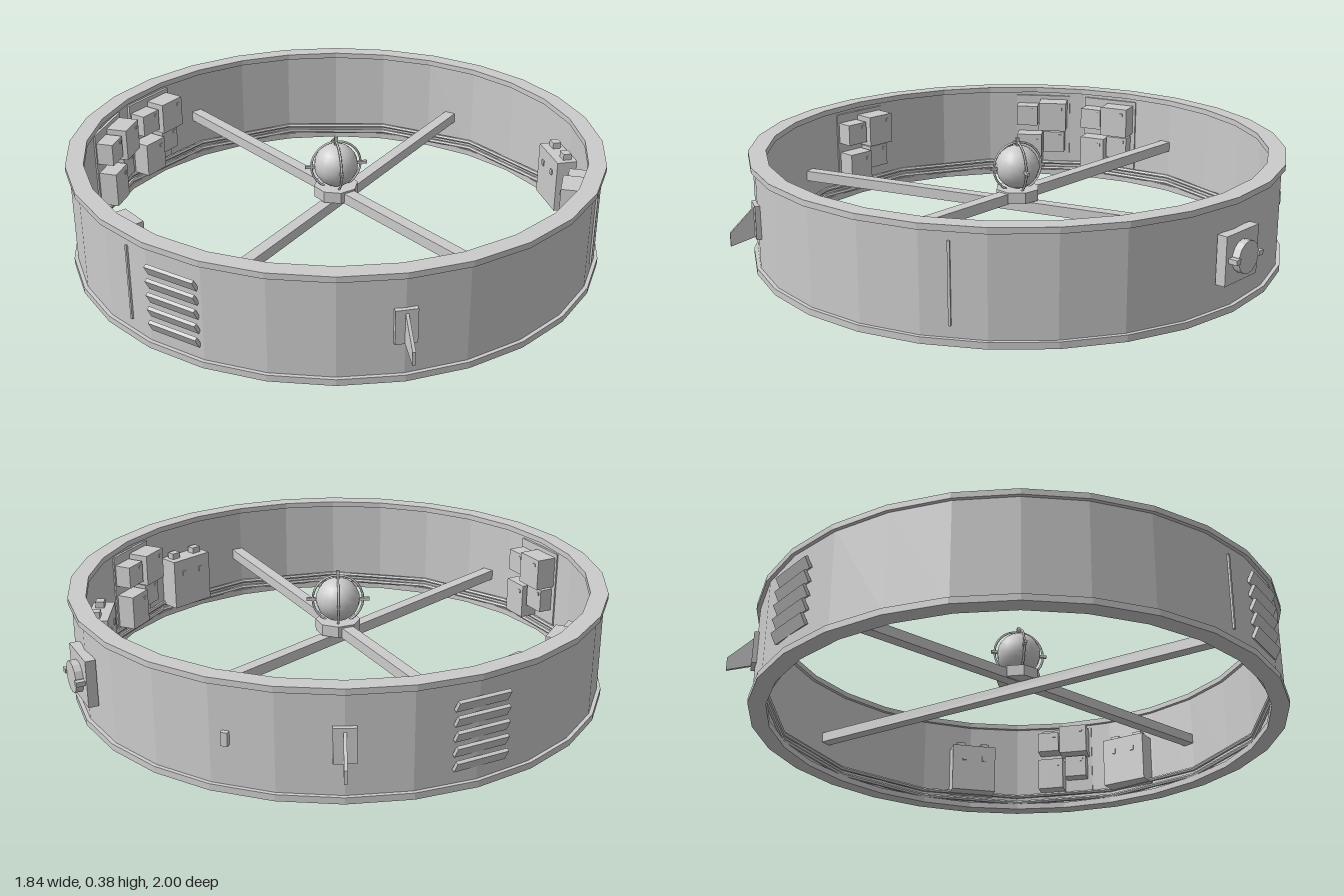
import * as THREE from 'three';

const grey = new THREE.MeshStandardMaterial({ color: 0xcccccc, flatShading: true });
const smooth = new THREE.MeshStandardMaterial({ color: 0xcccccc });

function add(parent, name, geometry, x = 0, y = 0, z = 0, material = grey) {
  const mesh = new THREE.Mesh(geometry, material);
  mesh.name = name;
  mesh.position.set(x, y, z);
  parent.add(mesh);
  return mesh;
}

function box(parent, name, w, h, d, x = 0, y = 0, z = 0) {
  return add(parent, name, new THREE.BoxGeometry(w, h, d), x, y, z);
}

// Rectangular-section ring standing on y0
function ringBand(parent, name, rIn, rOut, y0, y1) {
  const profile = [[rOut, y0], [rOut, y1], [rIn, y1], [rIn, y0], [rOut, y0]];
  return add(parent, name, new THREE.LatheGeometry(profile.map(p => new THREE.Vector2(...p)), 28));
}

// Group on the wall near (x, z): local +z points outward, or inward for inner gear
function onWall(parent, name, x, z, radius, inward = false) {
  const a = Math.atan2(x, z);
  const g = new THREE.Group();
  g.name = name;
  g.position.set(Math.sin(a) * radius, 0, Math.cos(a) * radius);
  g.rotation.y = a + (inward ? Math.PI : 0);
  parent.add(g);
  return g;
}

function addFin(parent, side) {
  const g = onWall(parent, 'finMount', 0, side, 0.9);
  box(g, 'finPlate', 0.07, 0.115, 0.03, 0, 0.19, 0.005);
  const s = new THREE.Shape();
  [[0.015, 0.24], [0.1, 0.155], [0.1, 0.11], [0.015, 0.135]].forEach(([u, v], i) =>
    i ? s.lineTo(u, v) : s.moveTo(u, v));
  const geo = new THREE.ExtrudeGeometry(s, { depth: 0.01, bevelEnabled: false });
  geo.translate(0, 0, -0.005).rotateY(-Math.PI / 2);
  add(g, 'fin', geo);
}

function addLouvre(parent, x, z) {
  const g = onWall(parent, 'louvre', x, z, 0.912);
  for (let i = 0; i < 5; i++) {
    box(g, 'slat', 0.18, 0.04, 0.012, 0, 0.085 + i * 0.049, 0).rotation.x = 0.5;
  }
}

// Inner rack: a thin back plate carrying four boxes
function addRack(parent, x, z) {
  const g = onWall(parent, 'equipmentRack', x, z, 0.865, true);
  box(g, 'rackPlate', 0.22, 0.285, 0.01, 0, 0.195, 0.005);
  const units = [
    [-0.06, 0.265, 0.085, 0.08, 0.07],
    [0.045, 0.265, 0.11, 0.115, 0.085],
    [-0.05, 0.125, 0.1, 0.125, 0.075],
    [0.05, 0.155, 0.085, 0.085, 0.06],
  ];
  for (const [ux, uy, w, h, d] of units) {
    box(g, 'equipmentBox', w, h, d, ux, uy, d / 2);
    box(g, 'indicator', 0.012, 0.012, 0.006, ux + w * 0.3, uy + h * 0.3, d);
  }
}

// Inner cabinet with two knobs on top
function addCabinet(parent, x, z) {
  const g = onWall(parent, 'cabinet', x, z, 0.865, true);
  box(g, 'cabinetBody', 0.175, 0.19, 0.075, 0, 0.145, 0.037);
  for (const s of [-1, 1]) {
    box(g, 'cabinetKnob', 0.035, 0.025, 0.03, s * 0.05, 0.25, 0.03);
    box(g, 'cabinetLatch', 0.015, 0.02, 0.006, s * 0.04, 0.185, 0.076);
  }
}

export function createModel() {
  const model = new THREE.Group();
  model.name = 'ringStation';

  // Ring wall with a flange along each edge
  ringBand(model, 'ringWall', 0.873, 0.907, 0.01, 0.36);
  ringBand(model, 'bottomFlange', 0.86, 0.92, 0, 0.022);
  ringBand(model, 'topFlange', 0.86, 0.92, 0.35, 0.37);

  // Faceted conduits around the inner wall
  for (const y of [0.03, 0.055]) {
    const geo = new THREE.TorusGeometry(0.868, 0.008, 6, 14);
    geo.rotateX(Math.PI / 2).rotateY(Math.PI / 2);
    add(model, 'conduit', geo, 0, y, 0);
  }

  // Two crossing spokes
  for (const [x, z, y] of [[0.39, 0.77, 0.18], [0.62, -0.62, 0.143]]) {
    box(model, 'spoke', 0.042, 0.037, 1.74, 0, y, 0).rotation.y = Math.atan2(x, z);
  }

  // Hub with a caged sphere
  const hub = new THREE.Group();
  hub.name = 'hub';
  model.add(hub);
  add(hub, 'hubPlate', new THREE.CylinderGeometry(0.078, 0.078, 0.04, 8), 0, 0.185, 0);
  const cy = 0.28;
  add(hub, 'coreSphere', new THREE.SphereGeometry(0.077, 16, 12), 0, cy, 0, smooth);
  for (const turn of [0, Math.PI / 2]) {
    add(hub, 'cageRing', new THREE.TorusGeometry(0.088, 0.004, 6, 28), 0, cy, 0, smooth).rotation.y = turn;
  }
  box(hub, 'crossPin', 0.22, 0.01, 0.01, 0, cy, 0);
  box(hub, 'crossPin', 0.01, 0.01, 0.2, 0, cy, 0);
  box(hub, 'uprightPin', 0.012, 0.19, 0.012, 0, 0.29, 0);

  // Outer fittings
  addFin(model, 1);
  addFin(model, -1);
  addLouvre(model, -0.65, 0.65);
  addLouvre(model, -0.41, -0.83);

  const port = onWall(model, 'port', 0.85, -0.42, 0.91);
  box(port, 'portPlate', 0.17, 0.16, 0.034, 0, 0.187, 0.008);
  add(port, 'portCap', new THREE.CylinderGeometry(0.053, 0.053, 0.04, 14).rotateX(Math.PI / 2), 0, 0.187, 0.03);
  for (const s of [-1, 1]) box(port, 'portClamp', 0.022, 0.016, 0.05, s * 0.06, 0.187, 0.03);

  box(onWall(model, 'marker', 0.35, -0.85, 0.907), 'markerLamp', 0.022, 0.045, 0.022, 0, 0.178, 0);
  for (const s of [-1, 1]) {
    box(onWall(model, 'seam', s * 0.76, 0.49, 0.904), 'seamStrip', 0.008, 0.26, 0.008, 0, 0.19, 0);
  }

  // Inner fittings
  for (const [x, z] of [[-0.73, -0.38], [-0.57, -0.6], [-0.75, 0.37], [0.75, 0.37]]) addRack(model, x, z);
  addCabinet(model, 0.83, 0);
  addCabinet(model, 0.59, 0.59);

  return model;
}
